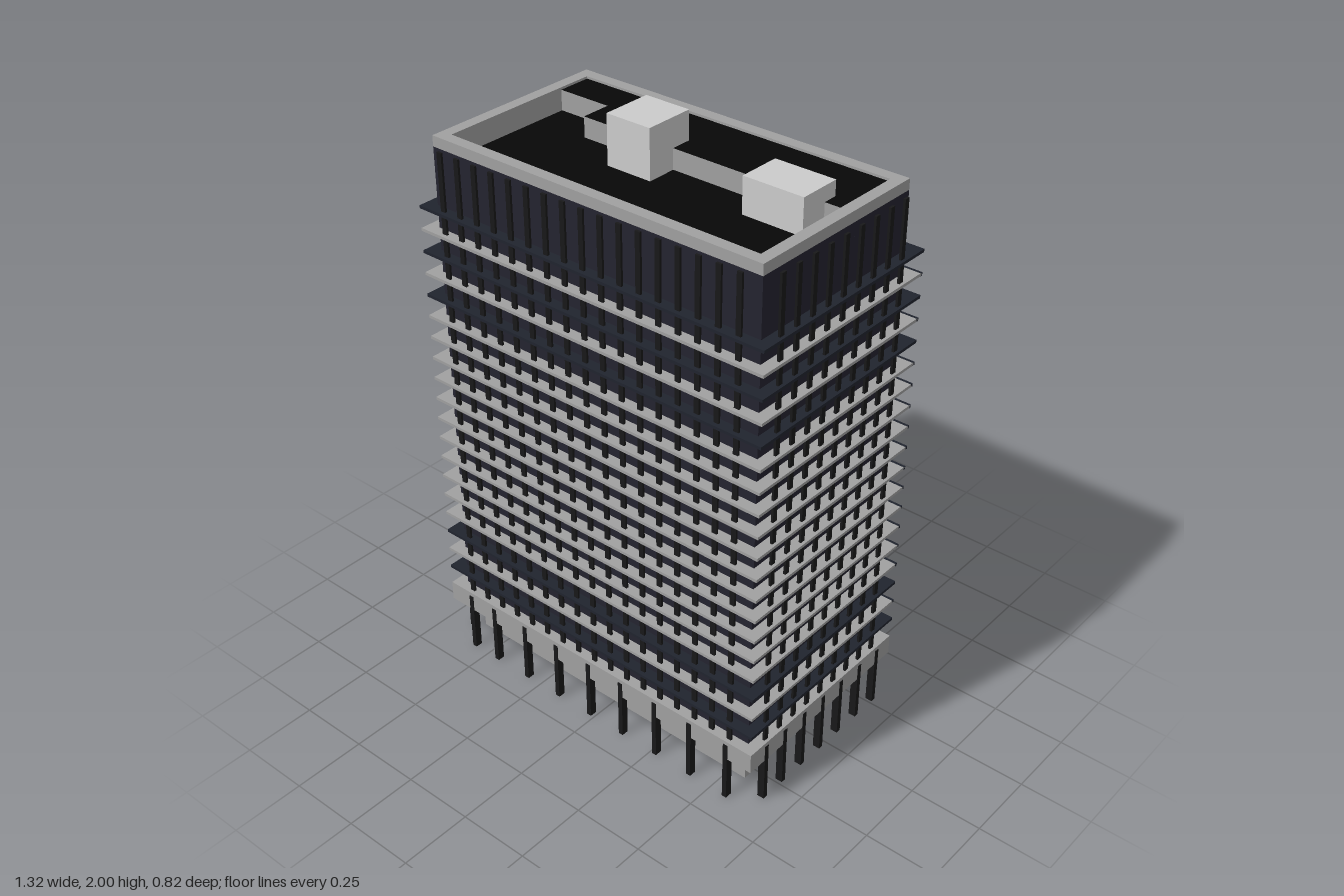
import * as THREE from 'three';

const mat = (color) => new THREE.MeshStandardMaterial({ color });

export function createModel() {
  const group = new THREE.Group();
  const light = mat(0xcccccc), concrete = mat(0xa0a0a0), glass = mat(0x24232f);
  const darkSlab = mat(0x20242e), black = mat(0x181819), roofBlack = mat(0x070707);

  // Box given by its extents on each axis
  function box(name, material, x0, x1, y0, y1, z0, z1) {
    const mesh = new THREE.Mesh(new THREE.BoxGeometry(x1 - x0, y1 - y0, z1 - z0), material);
    mesh.position.set((x0 + x1) / 2, (y0 + y1) / 2, (z0 + z1) / 2);
    mesh.name = name;
    group.add(mesh);
  }

  // Plan outline of [x, z] points raised from y0 to y1; the hole runs the other way round
  function raise(name, material, outline, y0, y1, hole) {
    const points = (list) => list.map(([x, z]) => new THREE.Vector2(x, -z));
    const shape = new THREE.Shape(points(outline));
    if (hole) shape.holes.push(new THREE.Path(points(hole).reverse()));
    const geometry = new THREE.ExtrudeGeometry(shape, { depth: y1 - y0, bevelEnabled: false });
    geometry.rotateX(-Math.PI / 2);
    const mesh = new THREE.Mesh(geometry, material);
    mesh.position.y = y0;
    mesh.name = name;
    group.add(mesh);
  }
  const rect = (x0, x1, z0, z1, inset = 0) => [
    [x0 + inset, z0 + inset], [x1 - inset, z0 + inset],
    [x1 - inset, z1 - inset], [x0 + inset, z1 - inset],
  ];

  // Ground floor: open-bottomed lobby and rear annex under the podium slab
  const lobby = [-0.62, 0.56, -0.23, 0.3], annex = [-0.62, 0.505, -0.408, -0.29];
  raise('lobbyWalls', concrete, rect(...lobby), 0, 0.165, rect(...lobby, 0.003));
  box('lobbyCeiling', glass, -0.618, 0.558, 0.158, 0.164, -0.228, 0.298);
  raise('annexWalls', concrete, rect(...annex), 0, 0.16, rect(...annex, 0.003));
  raise('annexRoof', concrete, rect(...annex), 0.16, 0.165);
  box('podiumSlab', concrete, -0.66, 0.66, 0.163, 0.234, -0.342, 0.405);

  // Ground-floor columns along the front and both sides, proud of the slab edge
  const column = (x, z, w, d) => box('column', black, x - w / 2, x + w / 2, 0, 0.22, z - d / 2, z + d / 2);
  for (const x of [-0.565, -0.455, -0.31, -0.165, -0.02, 0.122, 0.267, 0.412, 0.56]) column(x, 0.395, 0.017, 0.025);
  for (const z of [0.325, 0.23, 0.13, 0.03, -0.068, -0.17, -0.268]) {
    for (const s of [-1, 1]) column(s * 0.649, z, 0.025, 0.017);
  }

  // Tower body
  box('towerCore', glass, -0.62, 0.62, 0.234, 1.83, -0.303, 0.367);

  // Vertical fins standing just off the facades
  const finBottom = 0.234, finTop = 1.876;
  for (let i = 0; i < 17; i++) {
    const x = -0.572 + i * 0.0708;
    box('frontFin', black, x - 0.009, x + 0.009, finBottom, finTop, 0.383, 0.391);
    box('backFin', black, x - 0.009, x + 0.009, finBottom, finTop, -0.32, -0.312);
  }
  for (let i = 0; i < 9; i++) {
    const z = 0.315 - i * 0.0708;
    for (const s of [-1, 1]) {
      const x = s * 0.646;
      box('sideFin', black, x - 0.004, x + 0.004, finBottom, finTop, z - 0.009, z + 0.009);
    }
  }

  // Floor slabs, with a few dark bands near the bottom and top
  const darkFloors = [0, 2, 14, 16, 18], step = 0.0763;
  for (let i = 0; i < 19; i++) {
    const y = 0.304 + i * step;
    const dark = darkFloors.includes(i);
    box('floorSlab', dark ? darkSlab : concrete, -0.66, 0.66, y - 0.005, y + 0.005, -0.342, 0.405);
    box('slabBackEdge', darkSlab, -0.66, 0.66, y - 0.0055, y + 0.0055, -0.347, -0.338);
    // Blank rear wall panel below each slab
    box('rearWallPanel', concrete, -0.62, 0.505, i ? y - step + 0.005 : 0.234, y - 0.005, -0.342, -0.303);
  }

  // Parapet: dark outer skin, pale lining and coping
  const plan = [-0.62, 0.62, -0.303, 0.367];
  raise('parapetSkin', glass, rect(...plan), 1.83, 1.874, rect(...plan, 0.03));
  raise('parapetLining', concrete, rect(...plan, 0.03), 1.83, 1.874, rect(...plan, 0.04));
  raise('parapetCoping', concrete, rect(...plan), 1.874, 1.91, rect(...plan, 0.04));

  // Roof on two levels
  box('lowerRoof', roofBlack, -0.58, 0.58, 1.82, 1.833, -0.263, 0.327);
  raise('upperRoof', [roofBlack, concrete], [
    [-0.58, -0.263], [0.58, -0.263], [0.58, -0.038], [-0.385, -0.038], [-0.385, -0.144], [-0.58, -0.144],
  ], 1.83, 1.902);

  // Rooftop plant rooms
  box('tallPlantRoom', light, -0.196, -0.03, 1.83, 2, -0.11, 0.066);
  box('lowPlantRoom', light, 0.306, 0.518, 1.83, 1.953, -0.087, 0.06);

  return group;
}
